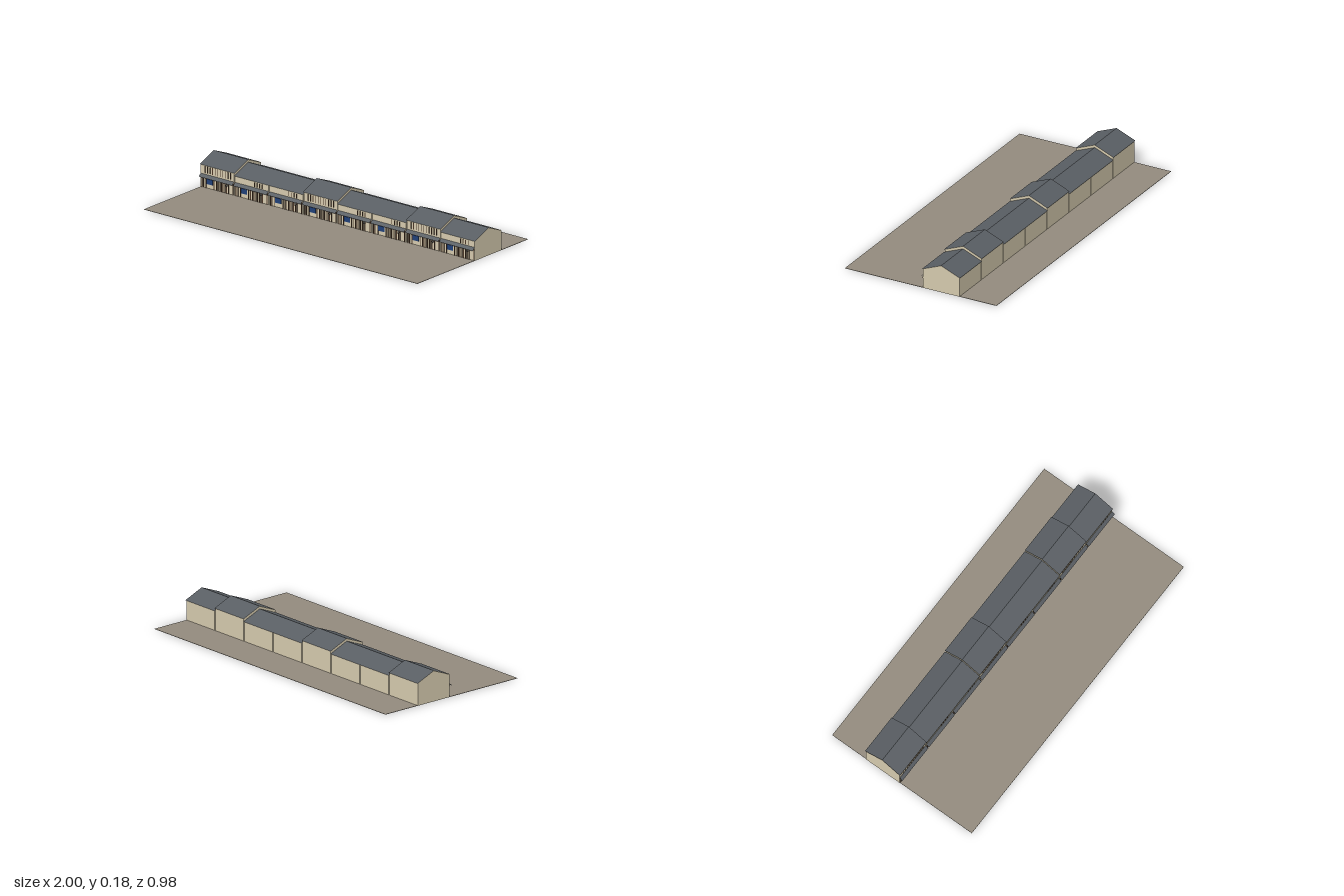
import * as THREE from 'three';

const mat = (name, color, side = THREE.FrontSide) => {
  const m = new THREE.MeshStandardMaterial({ color, side });
  m.name = name;
  return m;
};

const UNIT = 0.25, GAP = 0.003;
const FRONT = -0.015, BACK = -0.252, RIDGE = -0.135;

export function createModel() {
  const plaster = mat('plaster', 0xd3c8ac);
  const tile = mat('roof tile', 0x595e63, THREE.DoubleSide);
  const wood = mat('dark wood', 0x4a3526);
  const cloth = mat('blue cloth', 0x1f3f77);
  const earth = mat('earth', 0x928a7d);
  const lanternPaint = mat('lantern', 0x5a5650);

  const model = new THREE.Group();
  model.name = 'terraceRow';

  const add = (parent, name, geometry, material, x = 0, y = 0, z = 0) => {
    const mesh = new THREE.Mesh(geometry, material);
    mesh.name = name;
    mesh.position.set(x, y, z);
    parent.add(mesh);
    return mesh;
  };
  const box = (parent, name, material, w, h, d, x, y, z) =>
    add(parent, name, new THREE.BoxGeometry(w, h, d), material, x, y, z);

  // Sloping sheet along x between two (y, z) edges
  const sheet = (parent, name, x0, x1, [ya, za], [yb, zb]) => {
    const g = new THREE.PlaneGeometry(x1 - x0, Math.hypot(yb - ya, zb - za));
    g.rotateX(-Math.atan2(zb - za, ya - yb));
    return add(parent, name, g, tile, (x0 + x1) / 2, (ya + yb) / 2, (za + zb) / 2);
  };

  // Ground
  box(model, 'ground', earth, 1.99, 0.002, 0.98, 0, 0.001, 0);

  const house = (tall) => {
    const h = new THREE.Group();
    h.name = tall ? 'tallHouse' : 'lowHouse';
    const eave = tall ? 0.135 : 0.119;
    const ridge = tall ? 0.183 : 0.167;

    // Gabled body
    const s = new THREE.Shape();
    s.moveTo(-FRONT, 0.001);
    s.lineTo(-BACK, 0.001);
    s.lineTo(-BACK, eave);
    s.lineTo(-RIDGE, ridge);
    s.lineTo(-FRONT, eave);
    s.closePath();
    const body = new THREE.ExtrudeGeometry(s, { depth: UNIT - 2 * GAP, bevelEnabled: false });
    body.rotateY(Math.PI / 2);
    add(h, 'walls', body, plaster, GAP);

    // Roof slopes with a slight overhang, and the street canopy
    const lift = 0.0015, over = 0.004;
    const drop = over * (ridge - eave) / (FRONT - RIDGE);
    sheet(h, 'frontRoof', 0, UNIT, [ridge + lift, RIDGE], [eave + lift - drop, FRONT + over]);
    sheet(h, 'backRoof', 0, UNIT, [ridge + lift, RIDGE], [eave + lift - drop, BACK - over]);
    sheet(h, 'canopy', GAP, UNIT - GAP, [0.081, FRONT], [0.065, 0.004]);

    // Upper window bars
    const bars = tall ? 11 : 4;
    const from = tall ? 0.035 : 0.145;
    const low = tall ? 0.09 : 0.086;
    const high = tall ? 0.13 : 0.112;
    for (let i = 0; i < bars; i++)
      box(h, 'upperBar', wood, 0.004, high - low, 0.002, from + i * 0.0185, (low + high) / 2, FRONT + 0.001);

    // Street lattice either side of the doorway
    const slat = (x) => box(h, 'latticeSlat', wood, 0.0045, 0.062, 0.003, x, 0.033, FRONT + 0.0015);
    for (const x of [0.012, 0.024, 0.043, 0.102]) slat(x);
    for (let i = 0; i < 8; i++) slat(0.118 + i * 0.0125);
    slat(0.238);
    box(h, 'lintel', wood, UNIT - 2 * GAP, 0.005, 0.003, UNIT / 2, 0.065, FRONT + 0.0015);

    // Door curtain
    box(h, 'doorCurtain', cloth, 0.044, 0.03, 0.002, 0.072, 0.043, FRONT + 0.005);

    // Hanging lantern
    const lantern = new THREE.SphereGeometry(0.006, 12, 8);
    lantern.scale(1, 1.25, 1);
    add(h, 'lantern', lantern, lanternPaint, 0.199, 0.052, -0.006);
    return h;
  };

  // Eight houses, every third one tall
  for (let i = 0; i < 8; i++) {
    const h = house(i % 3 === 0);
    h.position.x = -1 + i * UNIT;
    model.add(h);
  }
  return model;
}
